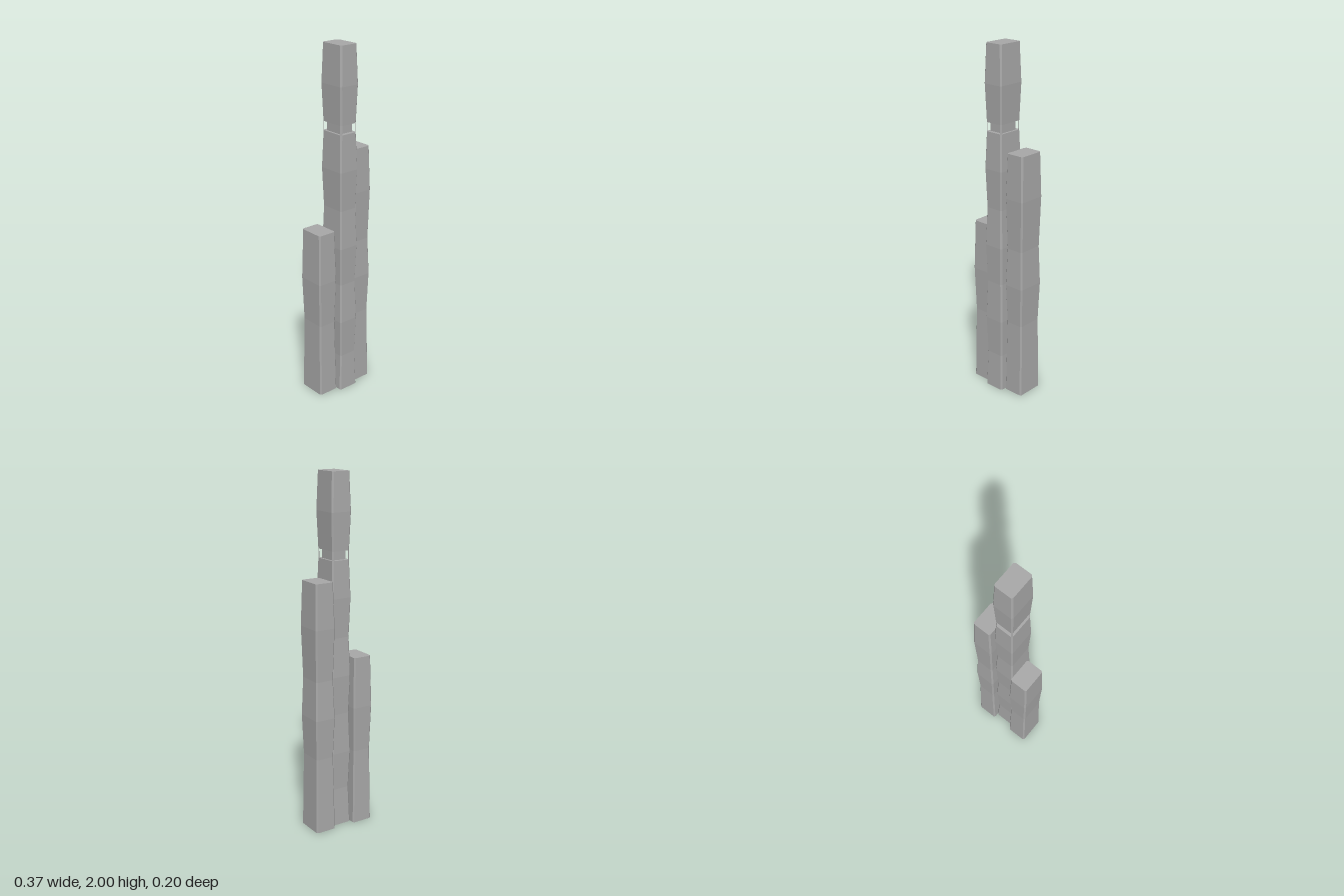
import * as THREE from 'three';

const concrete = new THREE.MeshStandardMaterial({ color: 0xa8a8a8, side: THREE.DoubleSide, flatShading: true });
concrete.name = 'grey concrete';

const CHAMFER = 0.008;
const WIDE = [0.061, 0.082];
const NARROW = [0.054, 0.075];

// Rectangle with cut corners, counter-clockwise seen from above
function section([hx, hz], y) {
  const c = CHAMFER;
  return [
    [hx, hz - c], [hx, c - hz], [hx - c, -hz], [c - hx, -hz],
    [-hx, c - hz], [-hx, hz - c], [c - hx, hz], [hx - c, hz],
  ].map(([x, z]) => [x, y, z]);
}

// Stacked frustums through alternating wide and narrow levels
function shaft(levels, capBottom) {
  const rings = levels.map(([y, wide]) => section(wide ? WIDE : NARROW, y));
  const p = [];
  const tri = (a, b, c) => p.push(...a, ...b, ...c);
  for (let i = 0; i + 1 < rings.length; i++) {
    for (let j = 0; j < 8; j++) {
      const k = (j + 1) % 8;
      const lo = rings[i], hi = rings[i + 1];
      tri(lo[j], lo[k], hi[k]);
      tri(lo[j], hi[k], hi[j]);
    }
  }
  const top = rings[rings.length - 1], bottom = rings[0];
  for (let j = 1; j < 7; j++) {
    tri(top[0], top[j], top[j + 1]);
    if (capBottom) tri(bottom[0], bottom[j + 1], bottom[j]);
  }
  const g = new THREE.BufferGeometry();
  g.setAttribute('position', new THREE.Float32BufferAttribute(p, 3));
  g.computeVertexNormals();
  return g;
}

export function createModel() {
  const model = new THREE.Group();
  model.name = 'tripleTower';
  const add = (name, geometry, x, y, z, parent = model) => {
    const mesh = new THREE.Mesh(geometry, concrete);
    mesh.name = name;
    mesh.position.set(x, y, z);
    parent.add(mesh);
    return mesh;
  };

  // Side towers, in opposite phase to the middle one
  add('leftTower', shaft([[0, 1], [0.44, 0], [0.67, 1], [0.89, 0], [1.18, 1], [1.43, 0]]), 0.122, 0, -0.015);
  add('rightTower', shaft([[0, 1], [0.44, 0], [0.7, 1], [0.99, 0]]), -0.123, 0, -0.017);

  // Middle tower in two parts around an open storey
  const middle = new THREE.Group();
  middle.name = 'middleTower';
  middle.position.z = 0.015;
  model.add(middle);
  add('middleShaft', shaft([[0, 1], [0.22, 0], [0.44, 1], [0.67, 0], [0.89, 1], [1.11, 0], [1.33, 1], [1.535, 0]]), 0, 0, 0, middle);
  add('upperBlock', shaft([[1.585, 0], [1.79, 1], [2, 0]], true), 0, 0, 0, middle);
  add('recessedCore', new THREE.BoxGeometry(0.082, 0.05, 0.106), 0, 1.56, 0, middle);

  // Thin corner strips across the open storey
  for (const sx of [-1, 1]) {
    for (const sz of [-1, 1]) {
      const strip = add('cornerStrip', new THREE.BoxGeometry(0.011, 0.05, 0.002),
        sx * (NARROW[0] - CHAMFER / 2 - 0.001), 1.56, sz * (NARROW[1] - CHAMFER / 2 - 0.001), middle);
      strip.rotation.y = sx * sz * Math.PI / 4;
    }
  }
  return model;
}
